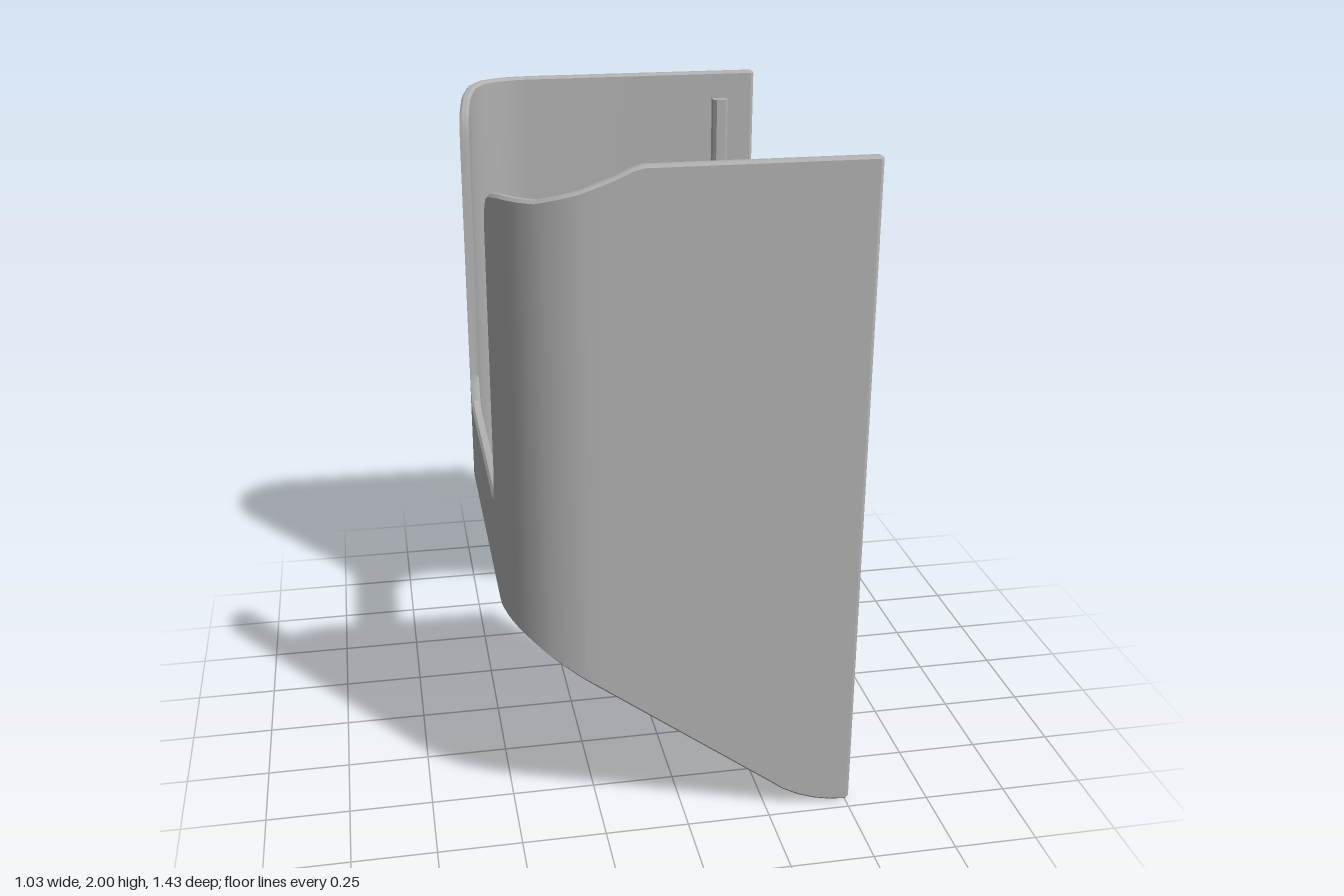
import * as THREE from 'three';
import { toCreasedNormals } from 'three/addons/utils/BufferGeometryUtils.js';

const HALF = 0.015;                        // half the wall thickness
const R = 0.235, CX = -0.265, CZ = 0.465;  // bend radius and centre
const ARC = R * Math.PI / 2;
const END = CZ + ARC + 0.512 - CX;         // developed length to the open end

// Height of the top edge along the developed length (0 = middle of the back)
const TOP = [
  [-END, 2], [-0.66, 2], [-0.6, 1.993], [-0.552, 1.968], [-0.515, 1.925], [-0.495, 1.885], [-0.48, 1.82],
  [-0.48, 1.03], [-0.445, 0.95], [-0.425, 0.938], [-0.39, 0.928],
  [0.3, 0.928], [0.335, 0.938], [0.35, 0.95], [0.38, 1.03],
  [0.38, 1.8], [0.4, 1.83], [0.45, 1.872], [0.5, 1.893], [0.56, 1.903], [0.69, 1.908],
  [0.8, 1.937], [0.9, 1.973], [0.94, 1.992], [0.97, 2], [END, 2],
];
// Height of the bottom edge by x
const BOTTOM = [
  [-0.52, 0.672], [0.25, 0.1], [0.3, 0.062], [0.35, 0.035], [0.4, 0.017], [0.45, 0.006], [0.52, 0],
];

function lookup(table, t) {
  for (let i = 1; i < table.length; i++) {
    const [a, ya] = table[i - 1], [b, yb] = table[i];
    if (t <= b && b > a) return ya + (yb - ya) * Math.max(0, (t - a) / (b - a));
  }
  return table[table.length - 1][1];
}

// Centre line of the U-shaped wall with its outward normal
function pathAt(u) {
  const s = Math.sign(u) || 1, a = Math.abs(u);
  if (a <= CZ) return { x: CX - R, z: u, nx: -1, nz: 0 };
  if (a >= CZ + ARC) return { x: CX + a - CZ - ARC, z: s * (CZ + R), nx: 0, nz: s };
  const t = (a - CZ) / R, nx = -Math.cos(t), nz = s * Math.sin(t);
  return { x: CX + R * nx, z: s * CZ + R * nz, nx, nz };
}

// Chamfered rectangle section swept along the path
function wallGeometry() {
  const stations = TOP.map(([u, top]) => ({ u, top }));
  const add = u => stations.push({ u, top: lookup(TOP, u) });
  for (const s of [-1, 1]) {
    for (let i = 0; i <= 14; i++) add(s * (CZ + ARC * i / 14));
    for (const x of [0.25, 0.3, 0.35, 0.4, 0.45, 0.502]) add(s * (CZ + ARC + x - CX));
  }
  stations.sort((a, b) => a.u - b.u);

  const rings = stations.map(({ u, top }) => {
    const p = pathAt(u), base = lookup(BOTTOM, p.x);
    const end = Math.abs(u) > END - 0.001;
    const w = end ? 0.006 : HALF, c = 0.008, inset = end ? 0.006 : 0;
    const lo = base + inset, hi = top - inset, k = w * 0.5;
    return [[k, lo], [w, lo + c], [w, hi - c], [k, hi], [-k, hi], [-w, hi - c], [-w, lo + c], [-k, lo]]
      .map(([o, y]) => new THREE.Vector3(p.x + p.nx * o, y, p.z + p.nz * o));
  });

  const pos = [], ab = new THREE.Vector3(), ac = new THREE.Vector3();
  const tri = (a, b, c) => {
    if (ab.subVectors(b, a).cross(ac.subVectors(c, a)).length() < 1e-9) return;
    for (const v of [a, b, c]) pos.push(v.x, v.y, v.z);
  };
  for (let i = 0; i + 1 < rings.length; i++) {
    const A = rings[i], B = rings[i + 1];
    for (let j = 0; j < 8; j++) {
      const k = (j + 1) % 8;
      tri(A[j], B[j], B[k]);
      tri(A[j], B[k], A[k]);
    }
  }
  // End caps
  const first = rings[0], last = rings[rings.length - 1];
  for (let j = 1; j < 7; j++) {
    tri(first[0], first[j], first[j + 1]);
    tri(last[0], last[j + 1], last[j]);
  }
  const g = new THREE.BufferGeometry();
  g.setAttribute('position', new THREE.Float32BufferAttribute(pos, 3));
  return toCreasedNormals(g, 0.5);
}

// Upright rib with chamfered inner corners and a sloping lower end
function railGeometry() {
  const shape = new THREE.Shape([
    [-0.025, -0.005], [0.025, -0.005], [0.025, 0.03], [0.015, 0.04], [-0.015, 0.04], [-0.025, 0.03],
  ].map(p => new THREE.Vector2(...p)));
  const g = new THREE.ExtrudeGeometry(shape, { depth: 0.79, bevelEnabled: false });
  g.rotateX(-Math.PI / 2);
  const p = g.attributes.position;
  for (let i = 0; i < p.count; i++) {
    if (p.getY(i) < 0.01) p.setY(i, -p.getZ(i) * 1.75);
  }
  g.computeVertexNormals();
  return g;
}

export function createModel() {
  const model = new THREE.Group();
  model.name = 'bracket';
  const grey = new THREE.MeshStandardMaterial({ color: 0xb0b0b0 });
  grey.name = 'grey';

  const wall = new THREE.Mesh(wallGeometry(), grey);
  wall.name = 'wall';
  model.add(wall);

  // One rib on the inside of each side wall
  const rail = railGeometry();
  for (const s of [1, -1]) {
    const mesh = new THREE.Mesh(rail, grey);
    mesh.name = s > 0 ? 'frontRail' : 'backRail';
    mesh.position.set(0.39, 1.12, s * 0.685);
    mesh.rotation.y = s > 0 ? 0 : Math.PI;
    model.add(mesh);
  }
  return model;
}
